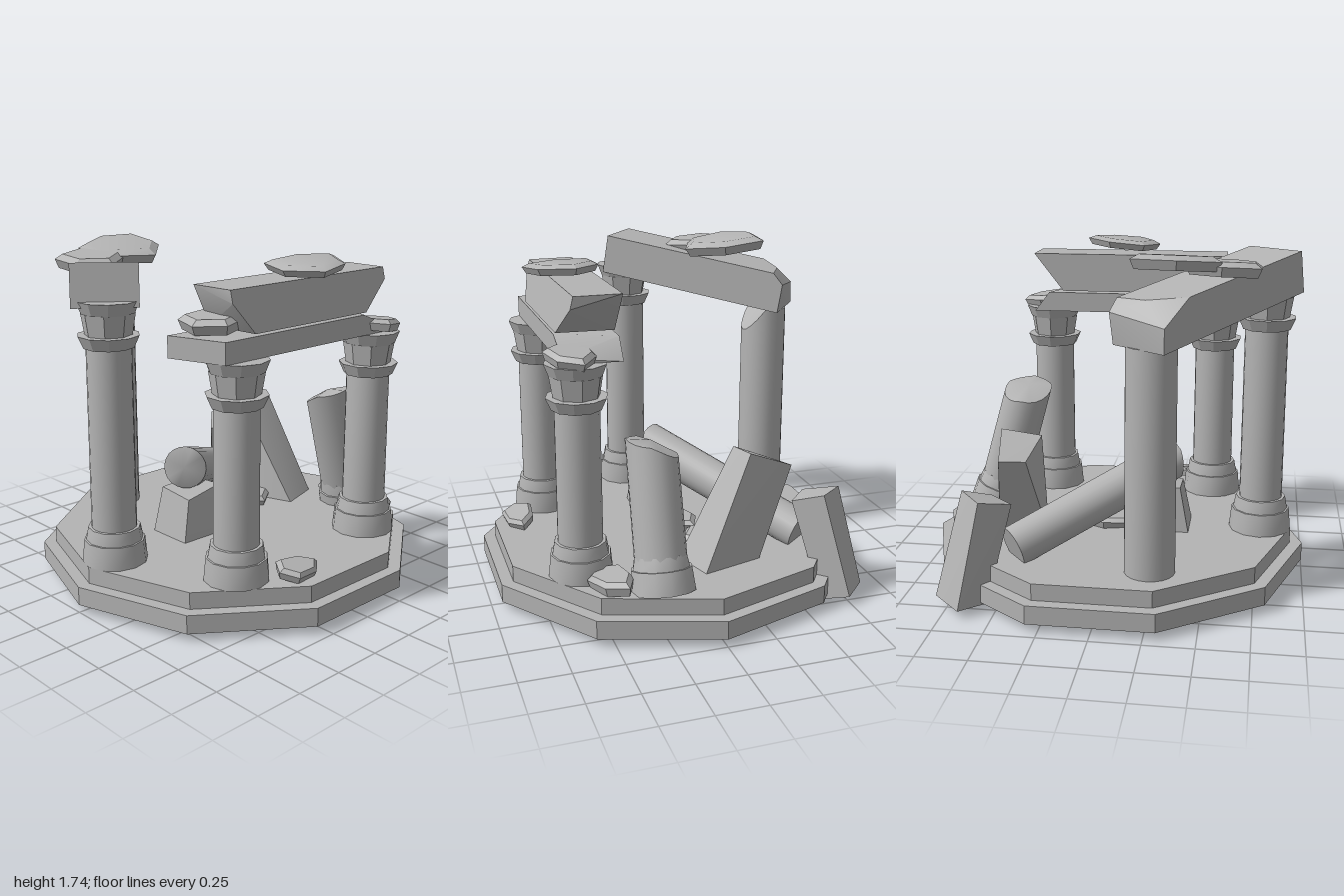
import * as THREE from 'three';
import { toCreasedNormals } from 'three/addons/utils/BufferGeometryUtils.js';
import { ConvexGeometry } from 'three/addons/geometries/ConvexGeometry.js';

const stone = new THREE.MeshStandardMaterial({ color: 0xb4b4b4, side: THREE.DoubleSide });
stone.name = 'stone';
const V = (p) => new THREE.Vector3(...p);

function part(name, geometry, parent) {
  const mesh = new THREE.Mesh(toCreasedNormals(geometry, 0.55), stone);
  mesh.name = name;
  parent.add(mesh);
  return mesh;
}

// upright drum between two heights
function drum(name, parent, r0, r1, y0, y1, sides = 20) {
  const g = new THREE.CylinderGeometry(r1, r0, y1 - y0, sides);
  g.translate(0, (y0 + y1) / 2, 0);
  return part(name, g, parent);
}

// lowers the rim of a broken shaft by a rule on its local x and z
function breakTop(mesh, height, drop) {
  const p = mesh.geometry.attributes.position;
  for (let i = 0; i < p.count; i++) {
    if (p.getY(i) > height - 0.01) p.setY(i, p.getY(i) - drop(p.getX(i), p.getZ(i)));
  }
  mesh.geometry = toCreasedNormals(mesh.geometry, 0.55);
}

// stepped foot rings
function foot(parent, y) {
  drum('footLowerRing', parent, 0.163, 0.152, y, y + 0.115, 12);
  drum('footUpperRing', parent, 0.142, 0.13, y + 0.115, y + 0.18, 12);
}

// whole column: foot, shaft and capital
function column(name, root, x, z, top, bottom) {
  const g = new THREE.Group();
  g.name = name;
  g.position.set(x, 0, z);
  root.add(g);
  foot(g, 0.22);
  drum('shaft', g, 0.113, 0.11, bottom, top - 0.2);
  drum('capitalCollar', g, 0.125, 0.152, top - 0.225, top - 0.165, 10);
  drum('capitalDrum', g, 0.115, 0.132, top - 0.165, top - 0.06, 8);
  drum('capitalTop', g, 0.132, 0.155, top - 0.06, top, 10);
}

// faceted block from its corners
const block = (name, root, corners) => part(name, new ConvexGeometry(corners.map(V)), root);

// flat broken slab with six uneven sides and a chamfered top
function slab(name, root, [x, y, z], [sx, sy, sz], yaw = 0, pitch = 0, roll = 0) {
  const pts = [];
  const uneven = [1, 0.86, 1, 0.92, 1.02, 0.84];
  uneven.forEach((k, i) => {
    const a = (i / 6) * Math.PI * 2;
    const c = Math.cos(a) * k * sx / 2, s = Math.sin(a) * k * sz / 2;
    pts.push([c * 0.9, -sy / 2, s * 0.9], [c, sy * 0.15, s], [c * 0.8, sy / 2, s * 0.8]);
  });
  const m = block(name, root, pts);
  m.position.set(x, y, z);
  m.rotation.set(pitch, yaw, roll);
}

export function createModel() {
  const root = new THREE.Group();
  root.name = 'ruinedTemple';

  // hollow stepped ten-sided floor
  const profile = [[1, 0.04], [1, 0.135], [0.935, 0.135], [0.935, 0.22], [0, 0.22]];
  part('steppedFloor', new THREE.LatheGeometry(
    profile.map(([r, y]) => new THREE.Vector2(r, y)), 10, Math.PI / 10), root);

  // standing columns
  column('frontLeftColumn', root, 0.455, 0.575, 1.3, 0.1);
  column('frontRightColumn', root, -0.48, 0.575, 1.3, 0.1);
  column('sideColumn', root, -0.77, 0, 1.53, 0.2);
  const back = drum('backColumn', root, 0.125, 0.122, 0.1, 1.34);
  breakTop(back, 1.34, (x, z) => 1.5 * Math.max(0, z - 0.04));
  back.position.set(-0.25, 0, -0.665);

  // leaning broken column
  const lean = new THREE.Group();
  lean.name = 'leaningColumn';
  lean.position.set(0.73, 0.2, 0.235);
  lean.rotation.z = 0.27;
  root.add(lean);
  foot(lean, 0);
  const stump = drum('stumpShaft', lean, 0.13, 0.126, 0, 0.75);
  breakTop(stump, 0.75, (x, z) => 0.6 * Math.max(0, 0.03 - z) + 0.4 * Math.max(0, x));

  // fallen shaft
  const a = V([-0.31, 0.59, 0]), b = V([0.44, 0.28, -0.61]);
  const fallen = drum('fallenShaft', root, 0.105, 0.11, 0, a.distanceTo(b));
  breakTop(fallen, a.distanceTo(b), (x, z) => 0.5 * Math.max(0, z) + 0.3 * Math.max(0, -x));
  fallen.position.copy(b);
  fallen.quaternion.setFromUnitVectors(new THREE.Vector3(0, 1, 0), a.clone().sub(b).normalize());

  // front lintel and the broken beam lying on it
  block('frontLintel', root, [
    [-0.71, 1.3, 0.36], [-0.71, 1.405, 0.36], [-0.62, 1.3, 0.65], [-0.62, 1.405, 0.65],
    [0.52, 1.3, 0.36], [0.44, 1.405, 0.36], [0.5, 1.33, 0.65], [0.32, 1.405, 0.65], [0.5, 1.3, 0.65]]);
  block('upperFrontBeam', root, [
    [-0.55, 1.62, 0.36], [-0.54, 1.62, 0.595], [-0.54, 1.56, 0.61], [-0.43, 1.415, 0.645], [-0.45, 1.415, 0.36],
    [0.52, 1.62, 0.36], [0.52, 1.62, 0.595], [0.52, 1.56, 0.61], [0.34, 1.415, 0.645], [0.36, 1.415, 0.36]]);

  // sloping side beam with a chipped far end
  const from = V([-0.81, 1.605, 0.035]), to = V([-0.19, 1.44, -0.78]);
  const h = from.distanceTo(to) / 2, w = 0.16, t = 0.105;
  const beam = block('sideBeam', root, [
    [-w, -t, -h], [w, -t, -h], [-w, t, -h], [w, t, -h], [-w, -t, h], [w, -t, h],
    [-w, t * 0.5, h], [w, t * 0.1, h - 0.02], [-w, t, h - 0.06], [w, t, h - 0.2], [0, t, h - 0.08]]);
  beam.position.copy(from).add(to).multiplyScalar(0.5);
  beam.lookAt(to);

  // block under the fallen shaft
  block('propBlock', root, [
    [-0.42, 0.1, -0.16], [-0.11, 0.1, -0.16], [-0.42, 0.1, 0.11], [-0.13, 0.1, 0.11],
    [-0.35, 0.46, -0.13], [-0.14, 0.47, -0.13], [-0.35, 0.44, 0.08], [-0.12, 0.47, 0.06], [-0.11, 0.3, 0.1]]);

  // leaning blocks, one inside and one over the edge
  block('leaningBlock', root, [
    [0.67, 0.2, 0], [0.44, 0.2, 0.07], [0.33, 0.2, -0.25], [0.58, 0.2, -0.32],
    [0.36, 0.76, -0.26], [0.57, 0.79, -0.27], [0.53, 0.69, -0.51], [0.4, 0.68, -0.47]]);
  block('edgeBlock', root, [
    [0.55, 0.02, -0.72], [0.66, 0.04, -0.87], [0.81, 0.05, -0.73], [0.7, 0, -0.62],
    [0.44, 0.51, -0.62], [0.57, 0.56, -0.76], [0.69, 0.57, -0.62], [0.57, 0.51, -0.5]]);

  // broken slabs on the beams
  slab('sideBeamSlab', root, [-0.33, 1.69, -0.45], [0.5, 0.07, 0.46], 0.7, 0.1, 0.03);
  slab('sideBeamChip', root, [-0.57, 1.66, -0.38], [0.42, 0.07, 0.36], 0.5, 0.05, 0.05);
  slab('frontBeamSlab', root, [0.03, 1.67, 0.53], [0.42, 0.05, 0.42], 0.1, 0.02, 0.08);
  slab('cornerSlab', root, [-0.49, 1.455, 0.44], [0.38, 0.07, 0.32], 0.2, 0, 0.06);
  slab('capitalChip', root, [0.48, 1.335, 0.6], [0.3, 0.06, 0.27], 0.2, 0, -0.12);

  // rubble on the floor
  slab('frontRubble', root, [-0.25, 0.255, 0.76], [0.28, 0.055, 0.19], 0, 0.2, -0.08);
  slab('leftRubble', root, [0.67, 0.26, 0.47], [0.32, 0.07, 0.22], 0.3, 0.1, 0.05);
  slab('middleRubble', root, [0.03, 0.245, -0.05], [0.33, 0.055, 0.27], 0.4, 0, 0.05);
  slab('innerRubble', root, [0.3, 0.245, -0.14], [0.3, 0.06, 0.27], 0.5, 0.05, 0);
  return root;
}
